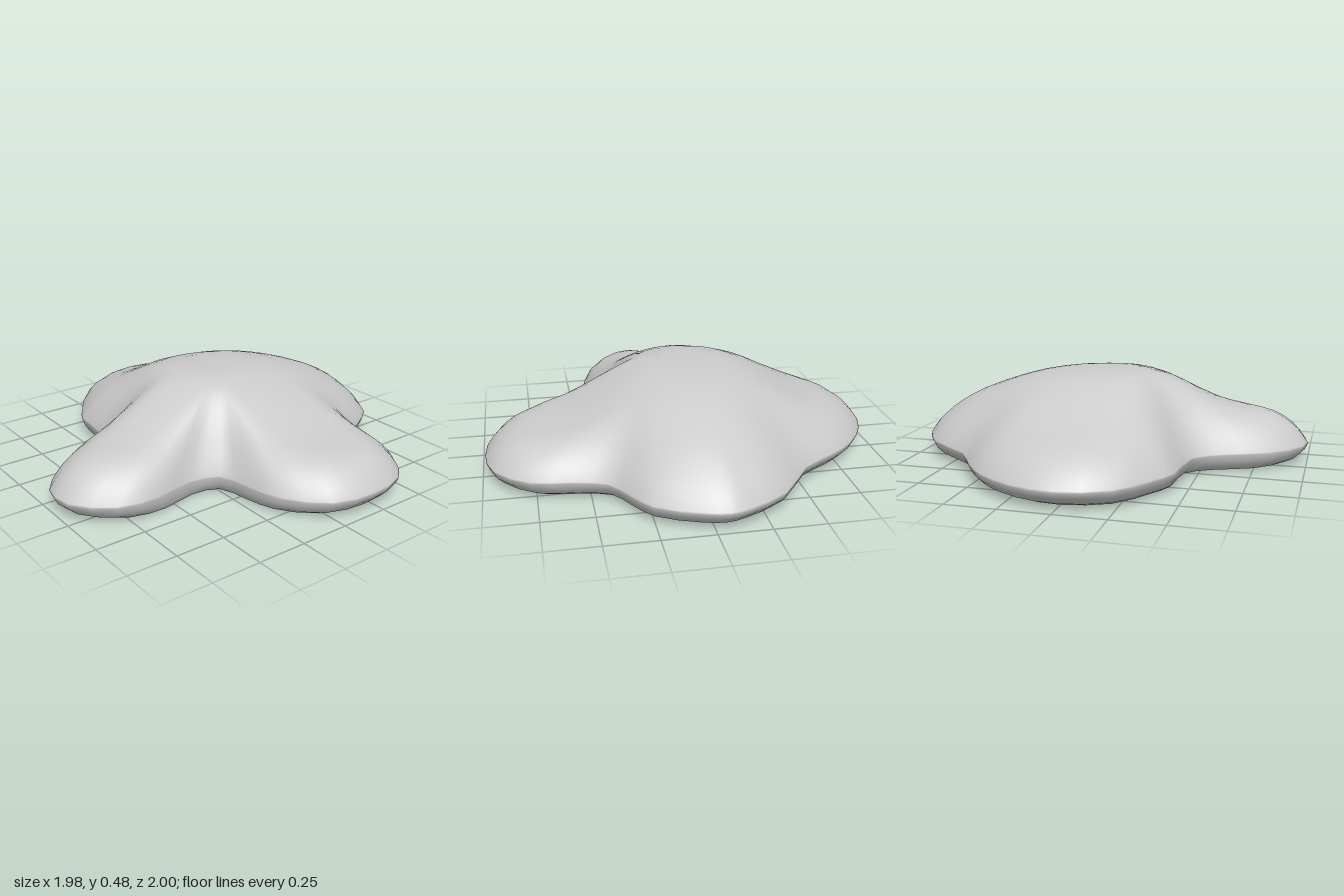
import * as THREE from 'three';

// Widest outline of the mound as [x, z], starting at the back lobe
const OUTLINE = [
  [-0.06, -1], [0.05, -0.98], [0.26, -0.88], [0.35, -0.75], [0.43, -0.63], [0.6, -0.58],
  [0.78, -0.55], [0.94, -0.41], [0.985, -0.2], [0.94, 0.02], [0.76, 0.18], [0.6, 0.225],
  [0.42, 0.27], [0.38, 0.42], [0.42, 0.62], [0.39, 0.82], [0.23, 0.985], [0.05, 0.985],
  [-0.12, 0.83], [-0.21, 0.62], [-0.32, 0.48], [-0.59, 0.45], [-0.72, 0.38], [-0.91, 0.24],
  [-0.99, 0], [-0.95, -0.21], [-0.83, -0.4], [-0.7, -0.51], [-0.52, -0.63], [-0.35, -0.86],
  [-0.14, -0.98],
];
const CENTRE = new THREE.Vector2(0.08, 0);
const RIM_Y = 0.09;
const SEGMENTS = OUTLINE.length * 2;
const TOP_RINGS = 16;

// Central dome that flattens into the low lobes
function domeHeight(x, z) {
  const r = Math.hypot((x + 0.05) / 0.52, z / (z < 0 ? 0.75 : 0.5));
  return 0.24 + 0.02 * z + 0.235 * Math.exp(-(r ** 3));
}

// Rounded edge, rising with distance from the rim and a little steeper in the notches
function edgeHeight(distance, t) {
  const u = 0.66 * distance + 0.38 * (1 - t);
  return RIM_Y + u + 0.02 * (1 - Math.exp(-u / 0.03));
}

function smoothMin(a, b, k) {
  const h = Math.max(k - Math.abs(a - b), 0) / k;
  return Math.min(a, b) - (h * h * k) / 4;
}

function createMoundGeometry() {
  const curve = new THREE.CatmullRomCurve3(
    OUTLINE.map(([x, z]) => new THREE.Vector3(x, 0, z)), true, 'centripetal');
  const sampleRim = (count) => Array.from({ length: count }, (_, i) => {
    const p = curve.getPoint(i / count);
    return new THREE.Vector2(p.x, p.z);
  });
  const rim = sampleRim(SEGMENTS);
  const fineRim = sampleRim(SEGMENTS * 8);

  const topHeight = (p, t) => {
    const distance = t === 1 ? 0 : Math.min(...fineRim.map((q) => q.distanceTo(p)));
    return smoothMin(edgeHeight(distance, t), domeHeight(p.x, p.y), 0.11);
  };

  // Rings run from the crown to the rim, then tuck under to the flat base
  const rings = [];
  for (let j = 0; j <= TOP_RINGS; j++) rings.push({ t: Math.sin((j / TOP_RINGS) * Math.PI / 2) });
  rings.push({ t: 0.985, y: 0.06 }, { t: 0.95, y: 0.027 }, { t: 0.9, y: 0.005 },
    { t: 0.86, y: 0 }, { t: 0.8, y: 0 }, { t: 0, y: 0 });

  const positions = [], index = [];
  const p = new THREE.Vector2();
  for (const { t, y } of rings) {
    for (const q of rim) {
      p.lerpVectors(CENTRE, q, t);
      positions.push(p.x, y ?? topHeight(p, t), p.y);
    }
  }
  // The first and last rings are single points, so they take one triangle per step
  for (let r = 0; r < rings.length - 1; r++) {
    for (let i = 0; i < SEGMENTS; i++) {
      const a = r * SEGMENTS + i, b = r * SEGMENTS + ((i + 1) % SEGMENTS);
      const c = a + SEGMENTS, d = b + SEGMENTS;
      if (r < rings.length - 2) index.push(a, d, c);
      if (r > 0) index.push(a, b, d);
    }
  }
  const geometry = new THREE.BufferGeometry();
  geometry.setAttribute('position', new THREE.Float32BufferAttribute(positions, 3));
  geometry.setIndex(index);
  geometry.computeVertexNormals();
  return geometry;
}

export function createModel() {
  const group = new THREE.Group();
  group.name = 'lobedMound';
  const mound = new THREE.Mesh(
    createMoundGeometry(), new THREE.MeshStandardMaterial({ color: 0xcccccc }));
  mound.name = 'mound';
  group.add(mound);
  return group;
}
